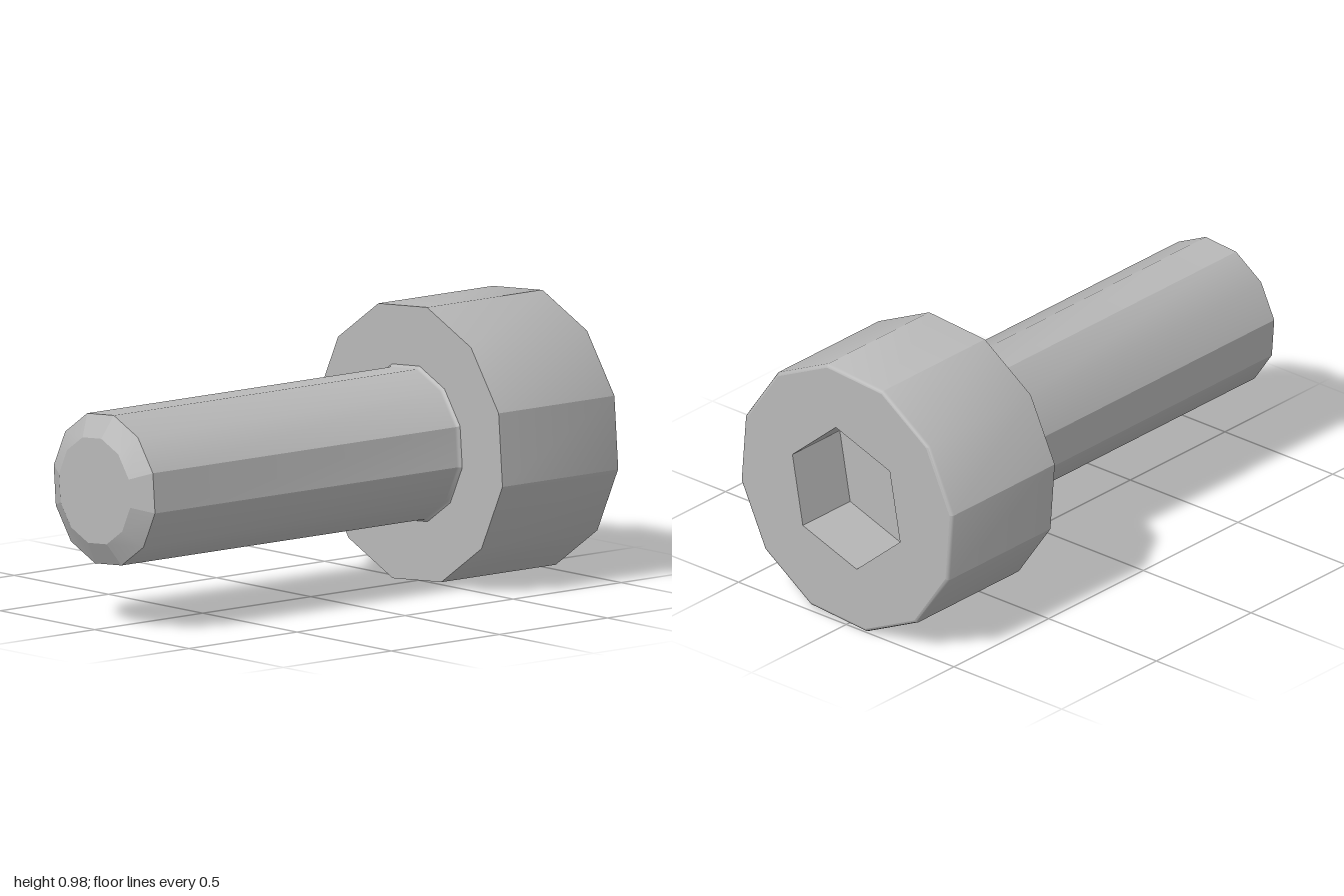
import * as THREE from 'three';
import { mergeGeometries, toCreasedNormals } from 'three/addons/utils/BufferGeometryUtils.js';

const rad = THREE.MathUtils.degToRad;
const TURN = 19.5;      // rotation of all polygons about the bolt's axis, degrees
const CENTRE_Y = 0.4916;

// Turn a profile of [radius, z] points about the z axis over part of a circle
function turned(profile, startDeg, segments, stepDeg, crease) {
  const points = profile.map(([r, z]) => new THREE.Vector2(r, z));
  const g = new THREE.LatheGeometry(points, segments, rad(startDeg + 90), rad(segments * stepDeg));
  g.rotateX(Math.PI / 2);
  return toCreasedNormals(g, crease);
}

// Twelve-sided body: flat facets along the axes, softened pairs between them
function twelveSided(profile) {
  const arcs = [];
  for (let i = 0; i < 4; i++) {
    arcs.push(turned(profile, TURN - 30 + i * 90, 1, 30, 0.8));
    arcs.push(turned(profile, TURN + i * 90, 2, 30, 0.8));
  }
  return mergeGeometries(arcs);
}

function polygon(radius, sides) {
  return Array.from({ length: sides }, (_, i) => {
    const a = rad(TURN + (i * 360) / sides);
    return new THREE.Vector2(radius * Math.cos(a), radius * Math.sin(a));
  });
}

export function createModel() {
  const group = new THREE.Group();
  const steel = new THREE.MeshStandardMaterial({ color: 0xb8b8b8 });
  steel.name = 'steel grey';

  const add = (name, geometry) => {
    const mesh = new THREE.Mesh(geometry, steel);
    mesh.name = name;
    mesh.position.y = CENTRE_Y;
    group.add(mesh);
  };

  // Head with a small rounded rear rim and a flat underside
  add('head', twelveSided([
    [0.488, -1], [0.496, -0.997], [0.5, -0.988], [0.5, -0.458], [0.28, -0.458],
  ]));

  // Rear face with the hexagonal opening
  const face = new THREE.Shape(polygon(0.488, 12));
  face.holes.push(new THREE.Path(polygon(0.265, 6)));
  const rear = new THREE.ShapeGeometry(face);
  const index = rear.index.array;
  for (let i = 0; i < index.length; i += 3) {
    [index[i + 1], index[i + 2]] = [index[i + 2], index[i + 1]];
  }
  rear.translate(0, 0, -1);
  rear.computeVertexNormals();
  add('headRearFace', rear);

  // Hexagonal socket: floor and inward-facing walls
  add('hexSocket', turned([[0, -0.75], [0.265, -0.75], [0.265, -1]], TURN, 6, 60, 0.1));

  // Shank with a small fillet at the head and a chamfered end
  add('shank', twelveSided([
    [0.283, -0.458], [0.276, -0.452], [0.273, -0.442], [0.273, 0.955], [0.192, 1],
  ]));

  // Flat end of the shank
  const tip = new THREE.ShapeGeometry(new THREE.Shape(polygon(0.192, 12)));
  tip.translate(0, 0, 1);
  add('shankTip', tip);

  return group;
}
